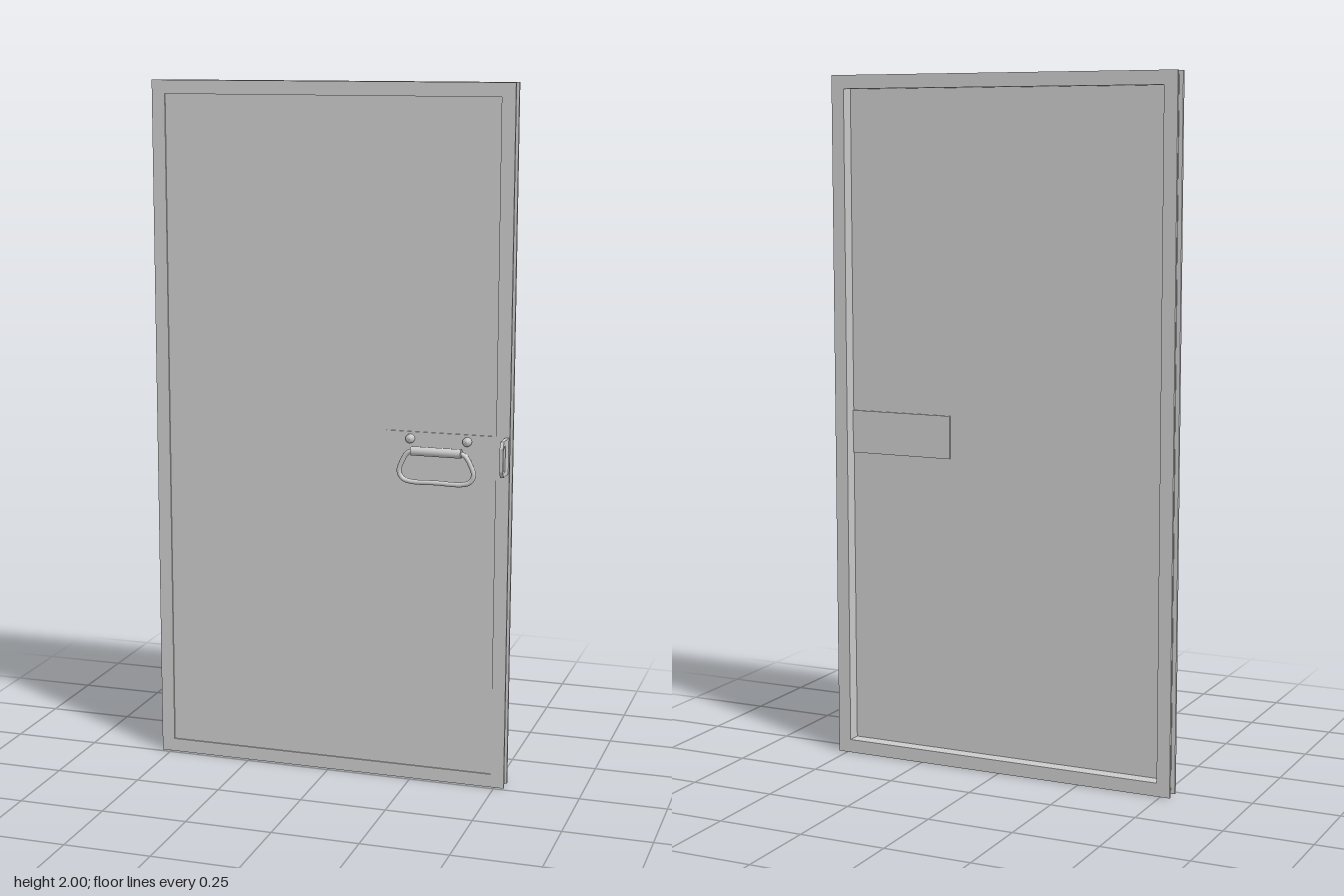
import * as THREE from 'three';

const material = new THREE.MeshStandardMaterial({ color: 0xcccccc });

function add(parent, name, geometry, x = 0, y = 0, z = 0) {
  const mesh = new THREE.Mesh(geometry, material);
  mesh.name = name;
  mesh.position.set(x, y, z);
  parent.add(mesh);
  return mesh;
}

const polygon = (points) => new THREE.Shape(points.map(([x, y]) => new THREE.Vector2(x, y)));
const rect = (w, h) => polygon([[-w, -h], [w, -h], [w, h], [-w, h]]);

// Rectangular ring around the door opening, from z0 to z1
function frameRing(halfW, halfH, z0, z1) {
  const shape = rect(halfW, halfH);
  shape.holes.push(rect(0.489, 0.961));
  return new THREE.ExtrudeGeometry(shape, { depth: z1 - z0, bevelEnabled: false }).translate(0, 1, z0);
}

export function createModel() {
  const door = new THREE.Group();
  door.name = 'door';

  // Frame: two flanges with a narrower web between, leaving a groove all round
  const frame = new THREE.Group();
  frame.name = 'frame';
  door.add(frame);
  add(frame, 'frontFlange', frameRing(0.528, 1, -0.019, -0.01));
  add(frame, 'web', frameRing(0.517, 0.989, -0.051, -0.019));
  add(frame, 'backFlange', frameRing(0.528, 1, -0.06, -0.051));

  // Thin panel close to the front
  add(door, 'panel', new THREE.BoxGeometry(0.98, 1.924, 0.006), 0, 1, -0.017);

  // Lock plate let through the panel
  add(door, 'lockPlate', new THREE.BoxGeometry(0.318, 0.125, 0.014), 0.33, 0.967, -0.0175);

  // Pull handle: barrel grip, D-shaped ring and two bolts
  const handle = new THREE.Group();
  handle.name = 'pullHandle';
  door.add(handle);
  add(handle, 'grip', new THREE.CylinderGeometry(0.013, 0.013, 0.145, 24), 0.322, 0.978, 0.008).rotation.z = Math.PI / 2;

  const ringPoints = [
    [0, 0.98], [0.06, 0.98], [0.083, 0.972], [0.1, 0.945], [0.108, 0.918], [0.098, 0.898], [0.075, 0.89], [0, 0.89],
  ];
  const mirrored = ringPoints.slice(1, -1).reverse().map(([x, y]) => [-x, y]);
  const path = new THREE.CatmullRomCurve3(
    [...ringPoints, ...mirrored].map(([x, y]) => new THREE.Vector3(x, y, 0)), true);
  add(handle, 'ring', new THREE.TubeGeometry(path, 96, 0.007, 12, true), 0.322, 0, 0.007);

  for (const x of [0.242, 0.407]) {
    const bolt = new THREE.LatheGeometry([
      new THREE.Vector2(0.013, -0.008), new THREE.Vector2(0.013, 0.004),
      new THREE.Vector2(0.009, 0.009), new THREE.Vector2(0, 0.011),
    ], 20);
    add(handle, 'bolt', bolt, x, 1.01, -0.007).rotation.x = Math.PI / 2;
  }

  // Lock tab on the edge, with chamfered corners and a slot (drawn as z, y)
  const tab = polygon([[-0.015, 0.926], [0.046, 0.926], [0.058, 0.944], [0.058, 1.01], [0.046, 1.028], [-0.015, 1.028]]);
  tab.holes.push(polygon([[0.03, 0.941], [0.041, 0.941], [0.05, 0.952], [0.05, 1.003], [0.041, 1.014], [0.03, 1.014]]));
  const tabGeometry = new THREE.ExtrudeGeometry(tab, { depth: 0.01, bevelEnabled: false });
  add(door, 'lockTab', tabGeometry, 0.525, 0, 0).rotation.y = -Math.PI / 2;

  return door;
}
